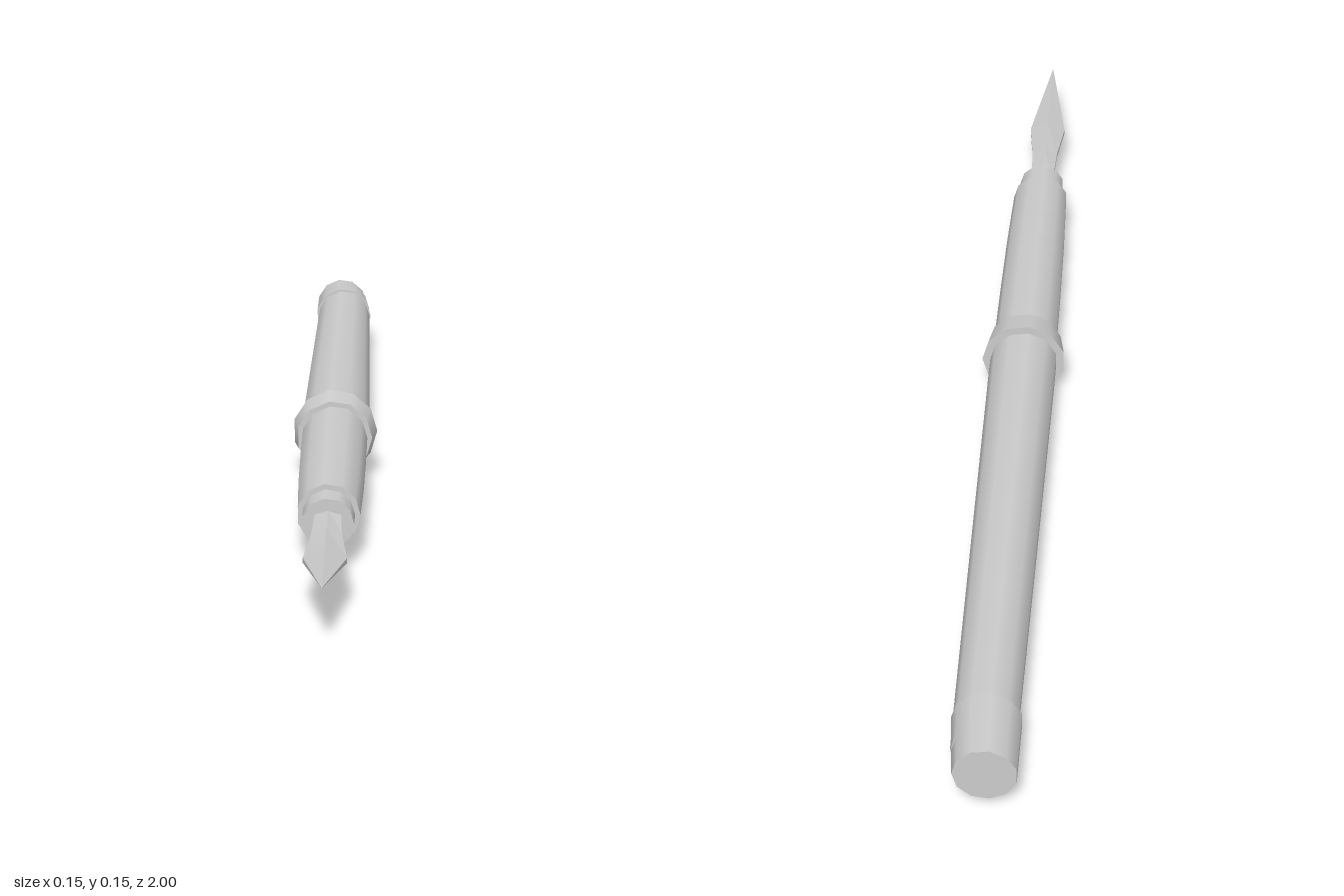
import * as THREE from 'three';

const AXIS_Y = 0.0765;
const SIDES = 11;
const grey = new THREE.MeshStandardMaterial({ color: 0xcccccc });

// Turned part along z: profile is a list of [radius, z], from back to front.
// Points are doubled at the closed ends so that the rims stay sharp.
function turned(name, profile) {
  const first = profile[0];
  const last = profile[profile.length - 1];
  const points = [[0, first[1]], first, ...profile, last, [0, last[1]]]
    .map(([r, z]) => new THREE.Vector2(r, z));
  const geometry = new THREE.LatheGeometry(points, SIDES, Math.PI / 2);
  geometry.rotateX(Math.PI / 2);
  const mesh = new THREE.Mesh(geometry, grey);
  mesh.name = name;
  mesh.position.y = AXIS_Y;
  return mesh;
}

// Folded nib: chevron cross-sections swept towards a point.
function makeNib() {
  // z, half width, ridge height, wing height, thickness
  const stations = [
    [0.60, 0.021, 0.098, 0.092, 0.006],
    [0.70, 0.024, 0.098, 0.087, 0.007],
    [0.80, 0.034, 0.099, 0.080, 0.008],
    [1.00, 0.0005, 0.098, 0.0978, 0.0005],
  ];
  const positions = [];
  const index = [];
  stations.forEach(([z, w, ridge, wing, t]) => {
    positions.push(w, wing, z, 0, ridge, z, -w, wing, z);
    positions.push(-w, wing - t, z, 0, ridge - t, z, w, wing - t, z);
  });
  for (let s = 0; s < stations.length - 1; s++) {
    for (let i = 0; i < 6; i++) {
      const a = s * 6 + i;
      const b = s * 6 + (i + 1) % 6;
      index.push(a, a + 6, b, b, a + 6, b + 6);
    }
  }
  const indexed = new THREE.BufferGeometry();
  indexed.setAttribute('position', new THREE.Float32BufferAttribute(positions, 3));
  indexed.setIndex(index);
  const geometry = indexed.toNonIndexed();
  geometry.computeVertexNormals();
  const material = grey.clone();
  material.side = THREE.DoubleSide;
  const mesh = new THREE.Mesh(geometry, material);
  mesh.name = 'nib';
  return mesh;
}

export function createModel() {
  const pen = new THREE.Group();
  pen.name = 'pen';

  // Barrel, tapering towards the back
  pen.add(turned('barrel', [[0.051, -0.95], [0.0525, -0.88], [0.057, -0.4], [0.0605, 0.0], [0.0605, 0.06]]));

  // End cap, its back face a little off the axis
  const cap = turned('endCap', [[0.051, -1], [0.0565, -0.88]]);
  const p = cap.geometry.attributes.position;
  for (let i = 0; i < p.count; i++) {
    p.setX(i, p.getX(i) - (p.getZ(i) < -0.95 ? 0.006 : 0.001));
  }
  pen.add(cap);

  // Flared ring between barrel and grip
  pen.add(turned('ring', [[0.075, 0.04], [0.0665, 0.09]]));

  // Grip and the collar holding the nib
  pen.add(turned('grip', [[0.058, 0.06], [0.057, 0.25], [0.055, 0.42], [0.0515, 0.56]]));
  pen.add(turned('collar', [[0.043, 0.54], [0.042, 0.61]]));
  pen.add(makeNib());
  return pen;
}
